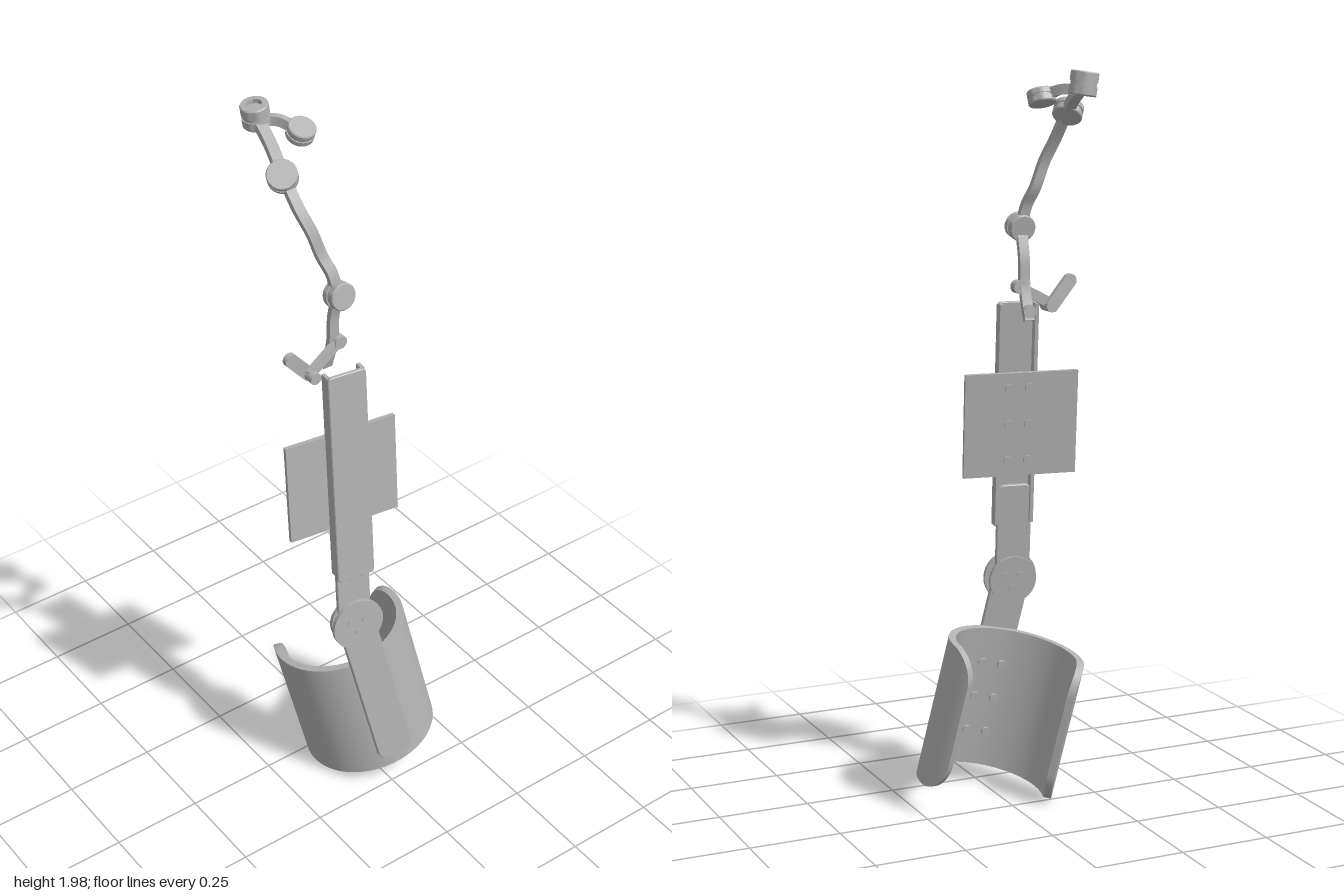
import * as THREE from 'three';
import { toCreasedNormals } from 'three/addons/utils/BufferGeometryUtils.js';

const V = (x, y, z) => new THREE.Vector3(x, y, z);
const rad = THREE.MathUtils.degToRad;

export function createModel() {
  const grey = new THREE.MeshStandardMaterial({ color: 0xb2b2b2 });
  grey.name = 'plain grey';
  const model = new THREE.Group();
  model.name = 'armBrace';

  function add(parent, name, geometry, x = 0, y = 0, z = 0) {
    const mesh = new THREE.Mesh(geometry, grey);
    mesh.name = name;
    mesh.position.set(x, y, z);
    parent.add(mesh);
    return mesh;
  }

  // Skin a row of four-cornered sections, closed at both ends
  function loft(sections) {
    const index = [0, 2, 1, 0, 3, 2];
    const last = (sections.length - 1) * 4;
    for (let i = 0; i < last; i += 4) {
      for (let k = 0; k < 4; k++) {
        const a = i + k, b = i + (k + 1) % 4;
        index.push(a, b, b + 4, a, b + 4, a + 4);
      }
    }
    index.push(last, last + 1, last + 2, last, last + 2, last + 3);
    const g = new THREE.BufferGeometry().setFromPoints(sections.flat());
    g.setIndex(index);
    return toCreasedNormals(g, 0.6);
  }

  // Flat strap that follows a smooth path
  function strap(name, points, widthDir, width, thick) {
    const curve = new THREE.CatmullRomCurve3(points);
    const n = points.length > 2 ? 20 : 1;
    const sections = [];
    for (let i = 0; i <= n; i++) {
      const p = curve.getPoint(i / n), t = curve.getTangent(i / n);
      const w = widthDir.clone().addScaledVector(t, -widthDir.dot(t)).normalize();
      const nrm = t.clone().cross(w);
      sections.push([[1, 1], [-1, 1], [-1, -1], [1, -1]].map(([a, b]) =>
        p.clone().addScaledVector(w, a * width / 2).addScaledVector(nrm, b * thick / 2)));
    }
    add(model, name, loft(sections));
  }

  // Upright slab between y0 and y1 with rounded corners and a fine bevel
  function slab(w, y0, y1, t, r) {
    const s = new THREE.Shape(), h = w / 2, q = Math.PI / 2, b = 0.002;
    s.absarc(h - r, y1 - r, r - b, 0, q);
    s.absarc(r - h, y1 - r, r - b, q, 2 * q);
    s.absarc(r - h, y0 + r, r - b, 2 * q, 3 * q);
    s.absarc(h - r, y0 + r, r - b, 3 * q, 4 * q);
    const g = new THREE.ExtrudeGeometry(s, {
      depth: t - 2 * b, bevelSize: b, bevelThickness: b, bevelSegments: 1, curveSegments: 10,
    });
    return g.translate(0, 0, b - t / 2);
  }

  const disc = (r, len) => new THREE.CylinderGeometry(r, r, len, 32).rotateX(Math.PI / 2);

  // Turned joint: two flanges with a groove, and a recess in the top when asked
  function joint(name, pos, axis, r, len, recess = 0) {
    const h = len / 2, g = len * 0.08;
    const p = [[0, -h], [r * 0.94, -h], [r, -h + 0.003], [r, -g], [r * 0.92, -g],
      [r * 0.92, g], [r, g], [r, h - 0.003], [r * 0.94, h]];
    if (recess) p.push([recess, h], [recess, h - 0.012], [0, h - 0.012]);
    else p.push([0, h]);
    const lathe = new THREE.LatheGeometry(p.map(([x, y]) => new THREE.Vector2(x, y)), 32);
    const mesh = add(model, name, toCreasedNormals(lathe, 0.6), ...pos.toArray());
    mesh.quaternion.setFromUnitVectors(V(0, 1, 0), axis.clone().normalize());
  }

  // Frames pivot on the elbow hinge
  function frame(name, tilt, lean) {
    const g = new THREE.Group();
    g.name = name;
    g.position.set(-0.08, 0.6, 0.18);
    g.rotation.set(rad(tilt), rad(-8), rad(lean), 'YXZ');
    model.add(g);
    return g;
  }
  const upper = frame('upperFrame', -5, 0);
  const lower = frame('lowerFrame', -5.5, 12);

  // Hinge with three small pins on each side
  add(upper, 'hingeFront', disc(0.074, 0.012), 0, 0, 0.014);
  add(upper, 'hingeBack', disc(0.066, 0.012), 0, 0, -0.014);
  for (let i = 0; i < 3; i++) {
    const a = i * Math.PI * 2 / 3 + 0.5;
    add(upper, 'hingePin', disc(0.011, 0.046), Math.cos(a) * 0.025, Math.sin(a) * 0.025, 0);
  }

  // Sliding bar inside the channel
  add(upper, 'slidingBar', slab(0.096, -0.04, 0.27, 0.014, 0.02), 0, 0, -0.006);

  // Channel, open at the back
  add(upper, 'channelFace', slab(0.108, 0.15, 0.776, 0.012, 0.012), 0.003, 0, 0.008);
  for (const s of [-1, 1]) {
    add(upper, 'channelFlange', new THREE.BoxGeometry(0.01, 0.61, 0.026), 0.003 + s * 0.049, 0.469, -0.009);
  }

  // Mounting plate and its screws
  add(upper, 'mountingPlate', new THREE.BoxGeometry(0.315, 0.286, 0.012), -0.006, 0.446, -0.026);
  for (const x of [-0.028, 0.028]) {
    for (const y of [0.346, 0.446, 0.546]) add(upper, 'plateScrew', disc(0.013, 0.006), x, y, -0.034);
  }

  // Lower bar
  add(lower, 'lowerBar', slab(0.104, -0.505, 0.05, 0.016, 0.03), 0, 0, 0.002);

  // Forearm cuff: curved shell, open at the back, with rounded corners
  const cuff = new THREE.Group();
  cuff.name = 'cuff';
  cuff.position.set(0.005, -0.345, -0.18);
  lower.add(cuff);
  const end = rad(126), half = 0.2, corner = 0.09, sections = [];
  for (let i = 0; i <= 56; i++) {
    const a = -end * Math.cos(Math.PI * i / 56);
    const d = Math.min(corner, (end - Math.abs(a)) * 0.184);
    const h = half - corner + Math.sqrt(Math.max(0, corner ** 2 - (corner - d) ** 2));
    const at = (inset, y) => V((0.188 - inset) * Math.sin(a), y, (0.18 - inset) * Math.cos(a));
    sections.push([at(0, h), at(0, -h), at(0.02, -h), at(0.02, h)]);
  }
  add(cuff, 'cuffShell', loft(sections));
  for (const x of [-0.028, 0.028]) {
    for (const y of [-0.1, 0, 0.1]) add(cuff, 'cuffScrew', disc(0.012, 0.01), x, y, 0.154);
  }

  // Small crank linkage above the channel
  const Z = V(0, 0, 1), X = V(1, 0, 0);
  strap('crankArm', [V(-0.195, 1.43, 0.06), V(-0.135, 1.36, 0.055)], Z, 0.014, 0.036);
  add(model, 'crankEnd', disc(0.018, 0.014), -0.195, 1.43, 0.06);
  strap('crankLink', [V(-0.145, 1.37, 0.07), V(-0.035, 1.425, 0.052)], Z, 0.014, 0.028);
  add(model, 'crankPin', disc(0.016, 0.045), -0.138, 1.365, 0.068);
  add(model, 'linkPin', disc(0.018, 0.026), -0.042, 1.422, 0.052);

  // Finger chain: straps between turned joints
  strap('firstLink', [V(-0.058, 1.335, 0.022), V(-0.056, 1.42, 0.045), V(-0.056, 1.5, 0.05),
    V(-0.057, 1.575, 0.07)], X, 0.028, 0.014);
  add(model, 'firstLinkStud', disc(0.018, 0.014), -0.058, 1.36, 0.022);
  joint('firstJoint', V(-0.057, 1.577, 0.076), V(0, 0.2, 1), 0.036, 0.044);
  strap('secondLink', [V(-0.06, 1.59, 0.068), V(-0.068, 1.635, 0.06), V(-0.083, 1.68, 0.04),
    V(-0.105, 1.75, 0.03), V(-0.125, 1.81, 0.005), V(-0.135, 1.875, -0.035)], X, 0.028, 0.016);
  joint('secondJoint', V(-0.136, 1.882, -0.046), V(-0.45, 0.75, 0.5), 0.039, 0.036);
  strap('thirdLink', [V(-0.132, 1.885, -0.055), V(-0.118, 1.905, -0.1), V(-0.105, 1.925, -0.15),
    V(-0.097, 1.95, -0.205)], X, 0.03, 0.018);
  joint('thirdJoint', V(-0.094, 1.96, -0.217), V(-0.15, 1, 0), 0.036, 0.06, 0.02);
  strap('fourthLink', [V(-0.08, 1.945, -0.205), V(-0.05, 1.945, -0.18), V(-0.02, 1.925, -0.14)],
    V(0, 1, 0), 0.026, 0.018);
  joint('fingerCap', V(-0.017, 1.924, -0.136), V(0, 0.92, 0.38), 0.036, 0.036);

  return model;
}
